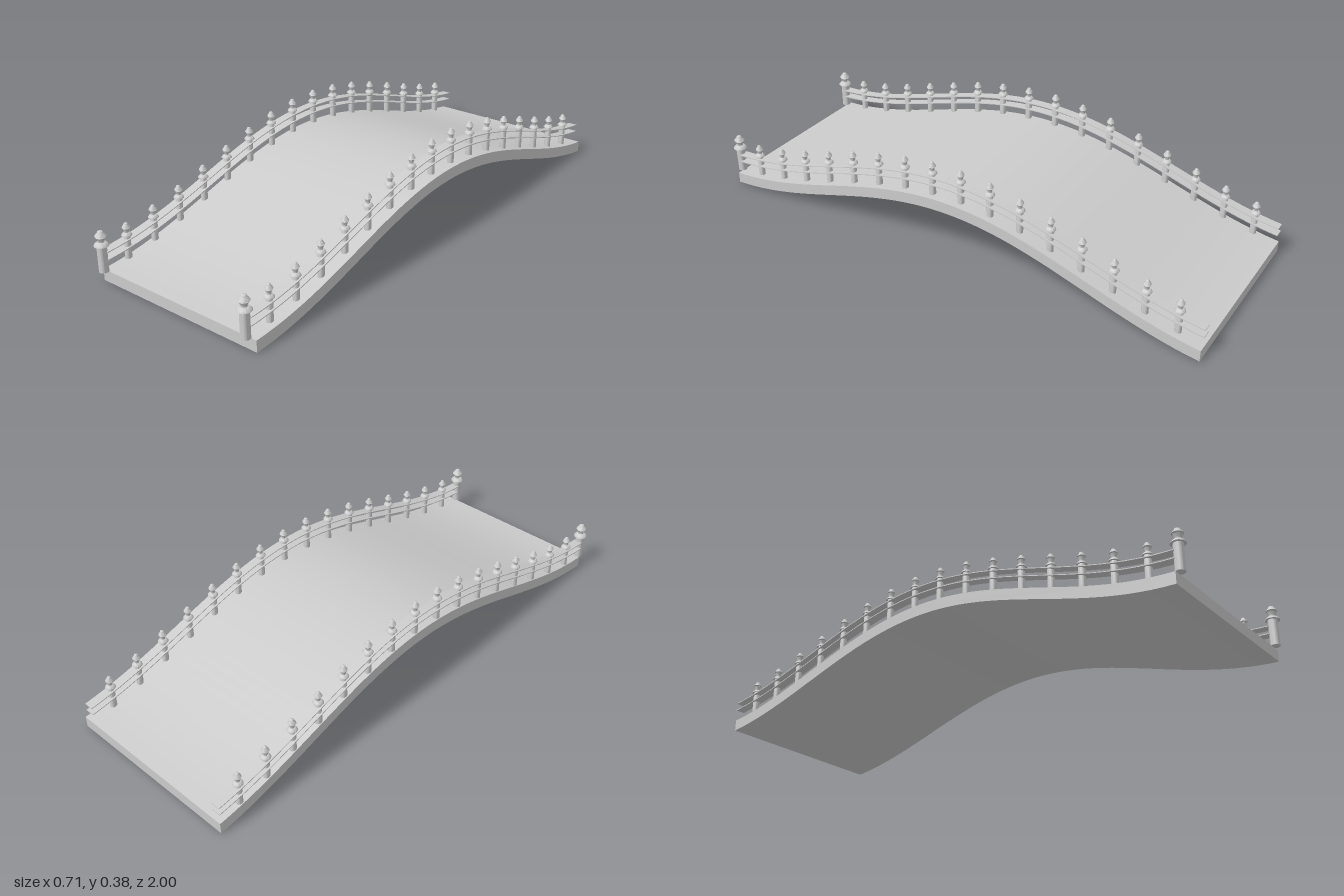
import * as THREE from 'three';
import { toCreasedNormals } from 'three/addons/utils/BufferGeometryUtils.js';

const BACK = -1, FRONT = 0.965, THICK = 0.042;
const material = new THREE.MeshStandardMaterial({ color: 0xcccccc });

// Underside height of the arched deck along z
const arch = (z) => 0.107 * (1 + Math.cos(Math.PI * (z + 0.05) / 1.07)) - 0.0014;

// Strip following the arch from x0 to x1, raised by `lift`
function archedStrip(name, x0, x1, lift, thick) {
  const n = 48, low = [], high = [];
  for (let i = 0; i <= n; i++) {
    const z = BACK + (FRONT - BACK) * i / n;
    const y = arch(z) + lift;
    low.push(new THREE.Vector2(z, y));
    high.unshift(new THREE.Vector2(z, y + thick));
  }
  const geo = new THREE.ExtrudeGeometry(new THREE.Shape([...low, ...high]), {
    depth: x1 - x0, bevelEnabled: false, steps: 1,
  });
  geo.rotateY(-Math.PI / 2).translate(x1, 0, 0);
  const mesh = new THREE.Mesh(toCreasedNormals(geo, 0.6), material);
  mesh.name = name;
  return mesh;
}

// Turned post: column, flared collar, vase and pointed finial
function postGeometry(radiusScale, heightScale, sink) {
  const profile = [
    [0, -sink], [0.017, -sink], [0.017, 0.096], [0.026, 0.096], [0.025, 0.099],
    [0.017, 0.107], [0.011, 0.109], [0.011, 0.114], [0.017, 0.126], [0.012, 0.128],
    [0.02, 0.13], [0.018, 0.134], [0.011, 0.142], [0.009, 0.147], [0, 0.151],
  ].map(([r, y]) => new THREE.Vector2(r * radiusScale, y * heightScale));
  return toCreasedNormals(new THREE.LatheGeometry(profile, 12), 0.6);
}

export function createModel() {
  const bridge = new THREE.Group();
  bridge.name = 'archedBridge';
  bridge.add(archedStrip('deck', -0.345, 0.353, 0, THICK));

  const smallPost = postGeometry(0.72, 0.865, 0.01);
  const endPost = postGeometry(1, 1, 0);

  for (const [side, x] of [['left', 0.318], ['right', -0.33]]) {
    const railing = new THREE.Group();
    railing.name = side + 'Railing';

    // Two thin flat rails
    railing.add(archedStrip('lowerRail', x - 0.018, x + 0.018, THICK + 0.042, 0.003));
    railing.add(archedStrip('upperRail', x - 0.018, x + 0.018, THICK + 0.07, 0.003));

    // Row of posts standing on the deck
    for (let i = 0; i < 16; i++) {
      const z = -0.905 + i * 0.1183;
      const post = new THREE.Mesh(smallPost, material);
      post.name = 'post';
      post.position.set(x, arch(z) + THICK, z);
      railing.add(post);
    }

    // Larger post at the front end
    const end = new THREE.Mesh(endPost, material);
    end.name = 'endPost';
    end.position.set(x, THICK, 0.974);
    railing.add(end);
    bridge.add(railing);
  }
  return bridge;
}
